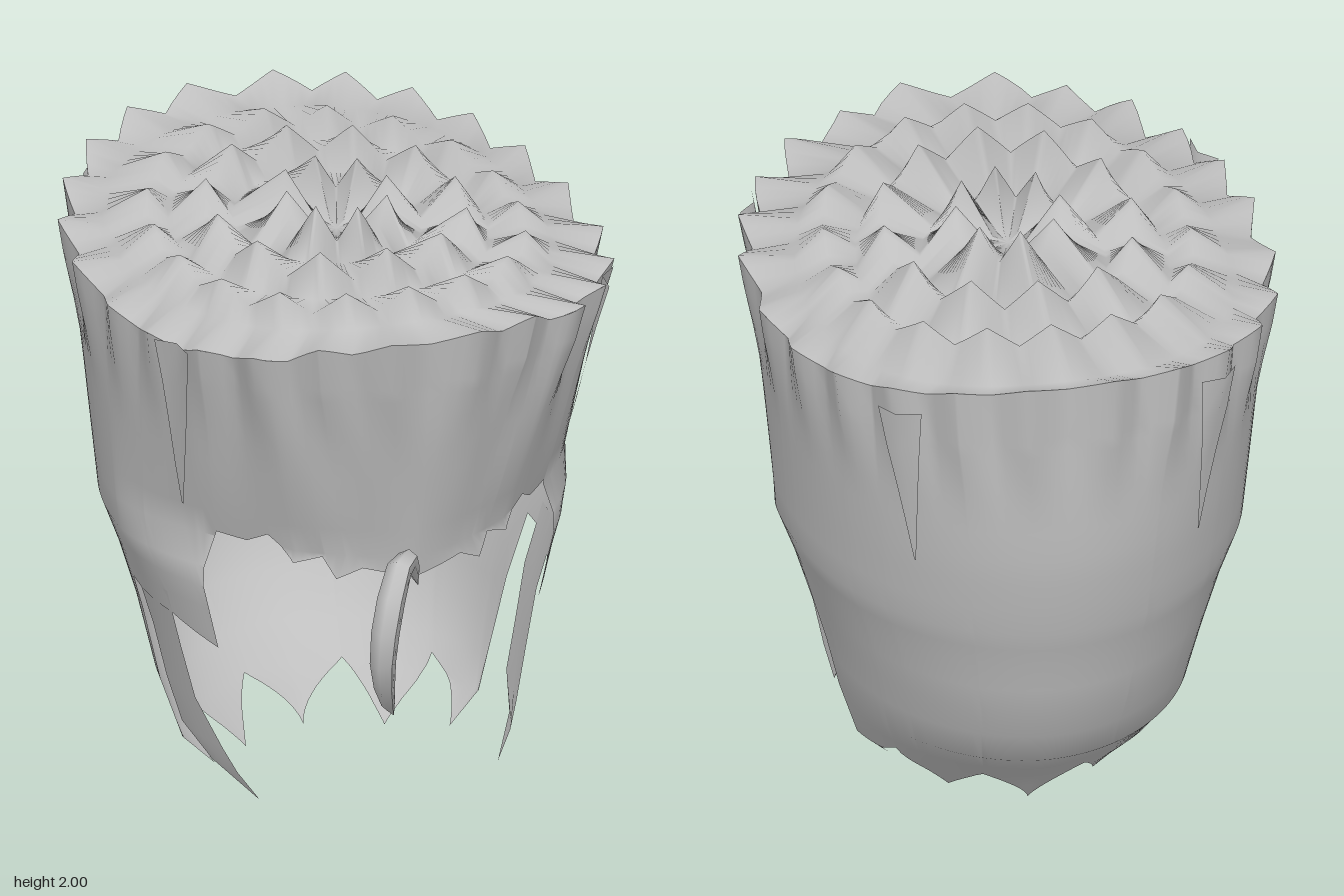
import * as THREE from 'three';

const hair = new THREE.MeshStandardMaterial({ color: 0xbfbfbf, side: THREE.DoubleSide });
hair.name = 'hair grey';

// Outline by height: y, half width, front depth, back depth, back roundness
const OUTLINE = [
  [0, 0.36, 0.69, 0.32, 1.5], [0.05, 0.4, 0.69, 0.36, 1.55], [0.15, 0.5, 0.69, 0.44, 1.7],
  [0.36, 0.56, 0.69, 0.68, 1.95], [0.6, 0.61, 0.69, 0.79, 2], [0.8, 0.67, 0.69, 0.84, 2],
  [0.95, 0.725, 0.69, 0.885, 2], [1.2, 0.745, 0.735, 0.93, 2.05], [1.8, 0.79, 0.835, 0.95, 2.3], [2, 0.8, 0.86, 0.96, 2.3],
];
// Roundness of the front half by height: the fringe narrows at the hairline
const FRONT_ROUNDNESS = [[0.7, 1.9], [0.88, 1.85], [1.05, 1.5], [1.35, 1.85], [1.8, 2.35]];
// Lower edge by angle from the front (degrees), same on both sides
const LOWER_EDGE = [
  [0, 0.97], [17.5, 1.01], [23, 0.97], [28, 1.04], [34, 1.01], [40, 1.1], [45, 1.06],
  [52, 1.07], [56.5, 0.88], [57.5, 0.66], [73, 0.72], [95, 0.73], [99.5, 0.34], [104, 0.05],
  [126, 0.2], [136, 0.01], [158, 0.16], [180, 0],
];
// Heights of the cross-sections below the rim
const LEVELS = [0, 0.08, 0.15, 0.25, 0.36, 0.48, 0.6, 0.7, 0.8, 0.88, 0.95, 1.05, 1.15, 1.25, 1.35, 1.45, 1.55, 1.65, 1.7];
const TOOTH_STEP = 7.5;

function lerpTable(table, key) {
  let i = 1;
  while (i < table.length - 1 && table[i][0] < key) i++;
  const a = table[i - 1], b = table[i];
  const t = THREE.MathUtils.clamp((key - a[0]) / (b[0] - a[0]), 0, 1);
  return a.map((v, k) => v + (b[k] - v) * t);
}

const tooth = deg => 1 - Math.abs((Math.abs(deg) / TOOTH_STEP) % 2 - 1);

// Point on the hair at an angle and height
function surface(deg, y, lift = 0) {
  const [, w, f, b, back] = lerpTable(OUTLINE, y);
  const a = THREE.MathUtils.degToRad(deg), s = Math.sin(a), c = Math.cos(a);
  const n = c > 0 ? lerpTable(FRONT_ROUNDNESS, y)[1] : back;
  let scale = 1 + lift + THREE.MathUtils.smoothstep(y, 1.4, 1.82) * (0.06 * tooth(deg) - 0.02);
  // broad folds beside the middle of the fringe
  const fold = Math.max(0, Math.abs(deg) - 11) * Math.PI / 12;
  scale += 0.02 * THREE.MathUtils.smoothstep(c, 0.4, 0.7) * THREE.MathUtils.smoothstep(y, 1.05, 1.6) * Math.cos(fold);
  const x = w * Math.sign(s) * Math.abs(s) ** (2 / n) * scale;
  const z = (c > 0 ? f : b) * Math.sign(c) * Math.abs(c) ** (2 / n) * scale;
  return [x, y, z];
}

function rimHeight(deg) {
  const c = Math.cos(THREE.MathUtils.degToRad(deg));
  return 1.745 + (c > 0 ? 0.09 * c ** 4 : 0.13 * c * c) + 0.045 * tooth(deg);
}

// Mesh from equal rows of points
function sheet(name, rows, closed = false) {
  const n = rows[0].length, index = [];
  for (let j = 0; j < rows.length - (closed ? 0 : 1); j++) {
    const k = (j + 1) % rows.length;
    for (let i = 0; i < n - 1; i++) {
      const a = j * n + i, b = k * n + i;
      index.push(a, b, a + 1, b, b + 1, a + 1);
    }
  }
  const g = new THREE.BufferGeometry();
  g.setAttribute('position', new THREE.Float32BufferAttribute(rows.flat(2), 3));
  g.setIndex(index);
  g.computeVertexNormals();
  const mesh = new THREE.Mesh(g, hair);
  mesh.name = name;
  return mesh;
}

// Main body: columns running from the lower edge to the toothed rim
function hairShell() {
  const angles = new Set(LOWER_EDGE.map(k => k[0]));
  for (let d = 0; d < 180; d += 2.5) angles.add(d);
  const half = [...angles].sort((a, b) => a - b);
  const around = [...half, ...half.slice(1, -1).reverse().map(d => -d)];
  const columns = around.map(d => {
    const low = lerpTable(LOWER_EDGE, Math.abs(d))[1];
    return [...LEVELS.map(y => Math.max(y, low)), rimHeight(d)].map(y => surface(d, y));
  });
  return sheet('hairShell', columns, true);
}

// Flat top: rings of pointed scales, all leaning forward, joined to the rim
function crown() {
  // ring radius, spike height, spikes around
  const ridges = [[0.72, 0.1, 18], [0.5, 0.14, 12], [0.21, 0.16, 8]];
  const columns = [];
  for (let i = 0; i < 144; i++) {
    const d = i * 2.5 - 180, a = THREE.MathUtils.degToRad(d), s = Math.sin(a), c = Math.cos(a);
    const at = (k, rise) => {
      const floor = 1.84 - 0.065 * (s * k) ** 2 + (c < 0 ? 0.02 * (c * k) ** 2 : 0);
      const round = 1 + 0.05 * k * Math.sin(2 * a) ** 2;
      return [0.78 * k * s * round, floor + rise * (1 - 0.3 * (s * k) ** 2), -0.02 + 0.91 * k * c * round];
    };
    const column = [surface(d, rimHeight(d))];
    let outer = 0.98;
    for (const [k, rise, count] of ridges) {
      const point = Math.abs(2 * (((d + 360) * count / 360) % 1) - 1);
      const valley = k + (outer - k) * (0.5 - 0.3 * c);
      column.push(at(valley, 0), at(k, rise * (0.3 + 0.7 * point)));
      outer = k;
    }
    column.push(at(0.07, 0), at(0, 0));
    columns.push(column);
  }
  return sheet('crownScales', columns, true);
}

// Pointed lock in front of each ear: y, front z, back z
function earLock(side) {
  const outline = [[0.8, 0.2, 0], [0.6, 0.18, 0], [0.42, 0.2, 0.02], [0.27, 0.28, 0.05], [0.2, 0.32, 0.2], [0.12, 0.36, 0.355]];
  const rows = outline.map(([y, z0, z1]) => {
    const [, w, f] = lerpTable(OUTLINE, y);
    return [0, 0.5, 1].map(t => {
      const z = z0 + (z1 - z0) * t;
      return [side * w * (1 - (z / f) ** 1.9) ** (1 / 1.9), y, z];
    });
  });
  if (side < 0) rows.forEach(r => r.reverse());
  return sheet(side > 0 ? 'leftEarLock' : 'rightEarLock', rows);
}

// Narrow pointed tuft lying on the outside
function tuft(deg, tipY) {
  const rows = [0, 0.25, 0.5, 0.75, 1].map(t => {
    const y = tipY + (1.78 - tipY) * t;
    return [1, 0, -1].map(k => surface(deg + k * (0.2 + 5 * t), y, 0.006 + 0.012 * t));
  });
  return sheet('sideTuft', rows);
}

// Loose curl over the forehead, tapering at both ends
function curl() {
  const path = new THREE.CatmullRomCurve3([
    [0.01, 0.94, 0.69], [-0.05, 1.07, 0.78], [-0.11, 1.11, 0.87], [-0.17, 1.02, 0.94],
    [-0.2, 0.85, 0.955], [-0.17, 0.68, 0.9], [-0.115, 0.57, 0.815],
  ].map(p => new THREE.Vector3(...p)));
  const segs = 9, sides = 6;
  const g = new THREE.TubeGeometry(path, segs, 0.046, sides);
  const pos = g.attributes.position, v = new THREE.Vector3();
  for (let i = 0; i <= segs; i++) {
    const c = path.getPointAt(i / segs);
    const k = Math.max(0.03, Math.sin(Math.PI * i / segs) ** 0.7);
    for (let j = 0; j <= sides; j++) {
      const n = i * (sides + 1) + j;
      v.fromBufferAttribute(pos, n).sub(c).multiplyScalar(k).add(c);
      pos.setXYZ(n, v.x, v.y, v.z);
    }
  }
  g.computeVertexNormals();
  const mesh = new THREE.Mesh(g, hair);
  mesh.name = 'foreheadCurl';
  return mesh;
}

export function createModel() {
  const model = new THREE.Group();
  model.name = 'flatTopHair';
  model.add(hairShell(), crown(), curl());
  for (const side of [1, -1]) {
    model.add(earLock(side));
    for (const [deg, tip] of [[60, 1.15], [144, 1.2]]) model.add(tuft(side * deg, tip));
  }
  return model;
}
